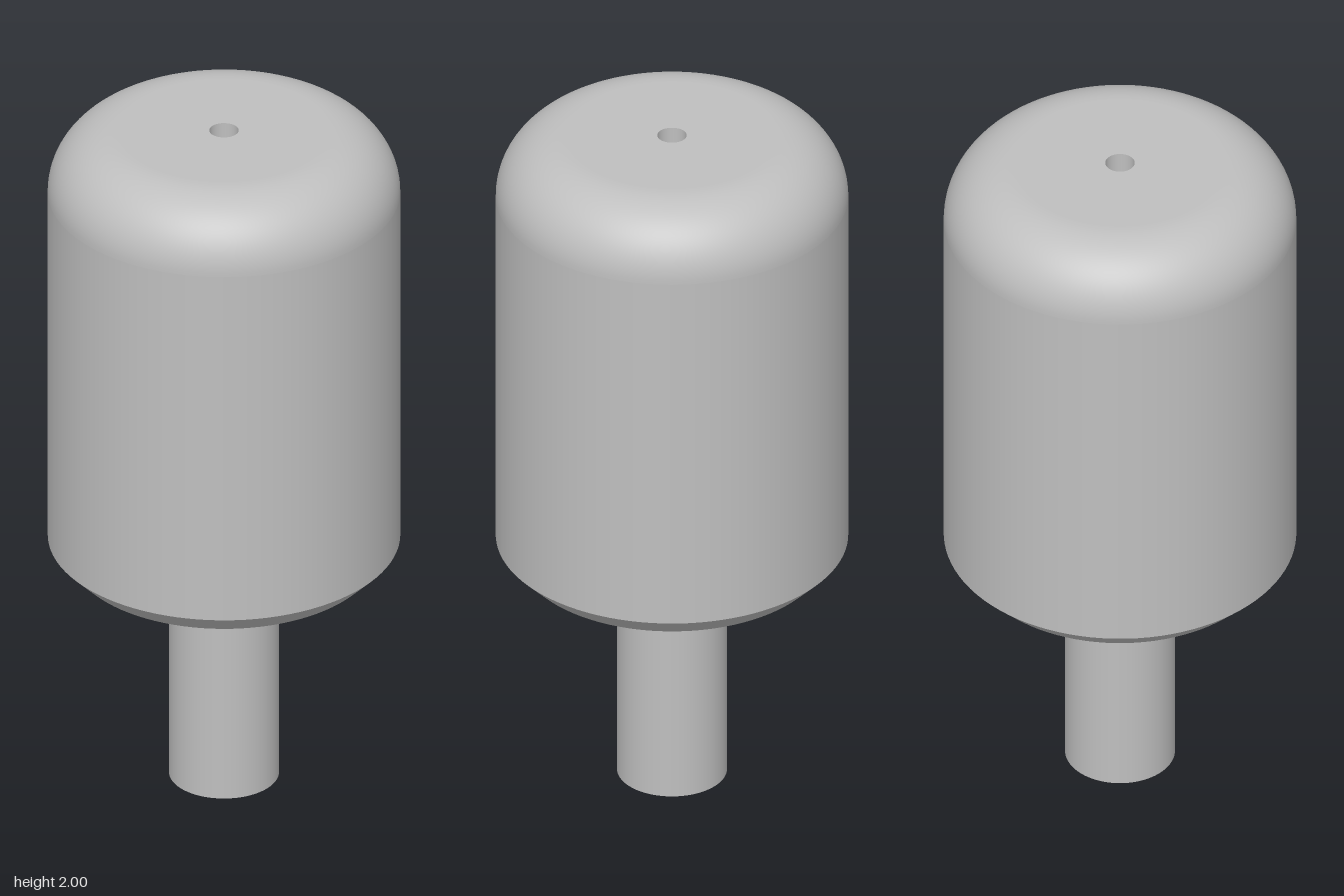
import * as THREE from 'three';

const SEGMENTS = 96;
const BODY_R = 0.48, STEM_R = 0.15, FILLET = 0.19;
const TOP = 2, BODY_BOTTOM = 0.68, CHAMFER = 0.06;
const HOLE_TOP_R = 0.04, HOLE_BOTTOM_R = 0.046;

export function createModel() {
  const group = new THREE.Group();
  const metal = new THREE.MeshStandardMaterial({ color: 0xbfbfbf });
  metal.name = 'plain grey';

  // Each stretch of the profile is its own lathe, so edges between them stay sharp
  const turn = (name, points) => {
    const profile = points.map(([r, y]) => new THREE.Vector2(r, y));
    const mesh = new THREE.Mesh(new THREE.LatheGeometry(profile, SEGMENTS), metal);
    mesh.name = name;
    group.add(mesh);
  };

  // Stem
  turn('stemEnd', [[HOLE_BOTTOM_R, 0], [STEM_R, 0]]);
  turn('stemWall', [[STEM_R, 0], [STEM_R, BODY_BOTTOM]]);

  // Body with a chamfered lower edge and a rounded shoulder
  const chamferTop = BODY_BOTTOM + CHAMFER;
  turn('bodyUnderside', [[STEM_R, BODY_BOTTOM], [BODY_R - CHAMFER, BODY_BOTTOM]]);
  turn('bodyChamfer', [[BODY_R - CHAMFER, BODY_BOTTOM], [BODY_R, chamferTop]]);
  turn('bodyWall', [[BODY_R, chamferTop], [BODY_R, TOP - FILLET]]);

  const shoulder = [];
  for (let i = 0; i <= 24; i++) {
    const a = (i / 24) * Math.PI / 2;
    shoulder.push([BODY_R - FILLET + FILLET * Math.cos(a), TOP - FILLET + FILLET * Math.sin(a)]);
  }
  turn('bodyShoulder', shoulder);
  turn('bodyTop', [[BODY_R - FILLET, TOP], [HOLE_TOP_R, TOP]]);

  // Bore running all the way through, facing inward
  turn('bore', [[HOLE_TOP_R, TOP], [HOLE_BOTTOM_R, 0]]);

  return group;
}
